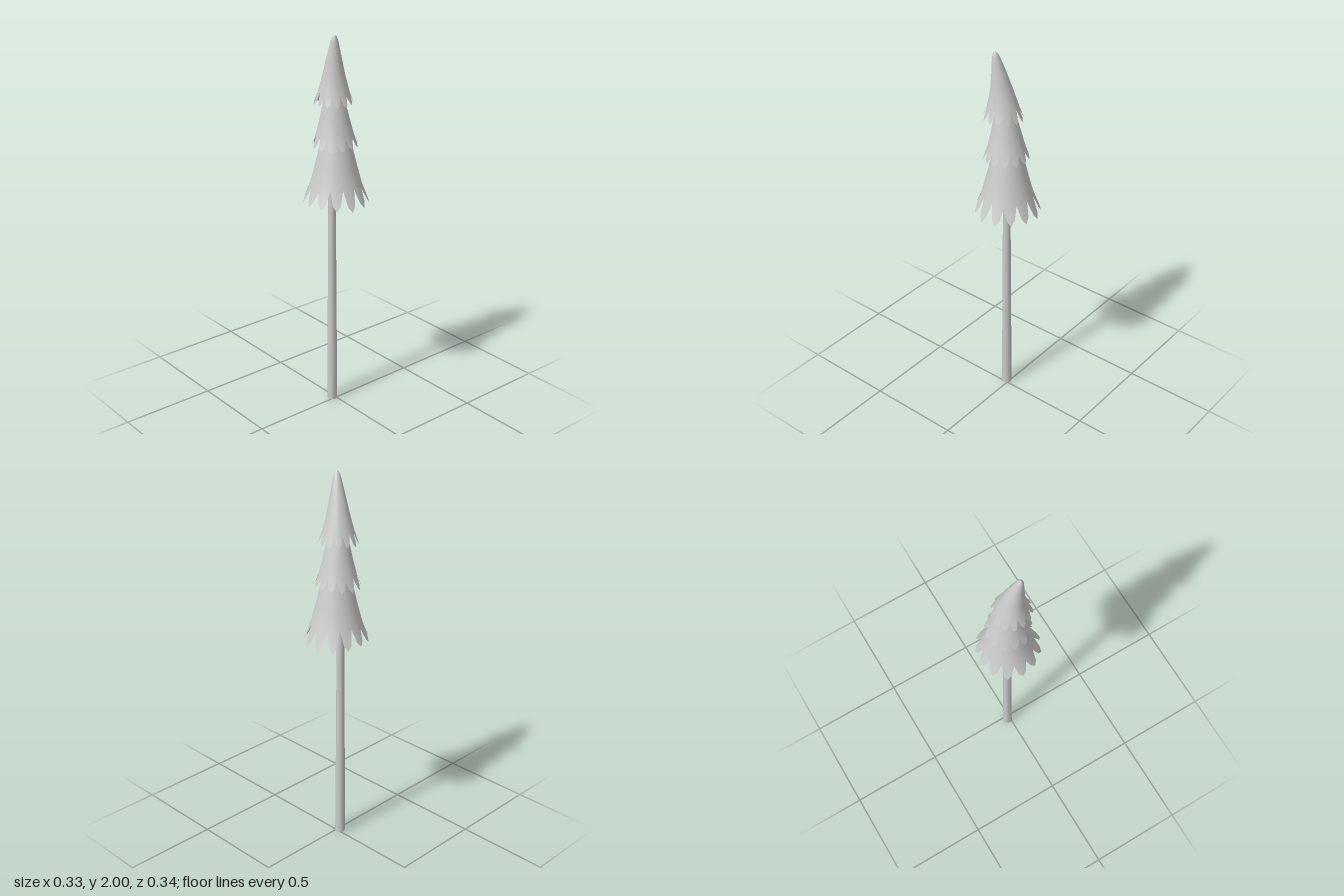
import * as THREE from 'three';

const TEETH = 13;
// columns of one tooth: notch, shoulder, tip, shoulder [angle fraction, drop]
const TOOTH = [[-0.5, 0], [-0.26, 0.72], [0, 1], [0.26, 0.72]];

// small repeatable variation in -1..1
const vary = (n) => Math.sin(n * 12.9898 + 4.1) * Math.cos(n * 7.233);

// A drooping skirt of foliage: rows are [y, radius, centre x, centre z] from the
// apex to the notches; the teeth hang below the last row.
function makeTier(name, rows, tipDrop, tipFlare, phase, material) {
  const positions = [];
  const index = [];
  const cols = TEETH * TOOTH.length;
  const [ny, nr, nx, nz] = rows[rows.length - 1];
  const angleAt = (c) =>
    phase + ((Math.floor(c / 4) + TOOTH[c % 4][0]) * Math.PI * 2) / TEETH;

  for (const [i, [y, r, cx, cz]] of rows.entries()) {
    const end = i / (rows.length - 1);
    for (let c = 0; c < cols; c++) {
      const lift = c % 4 === 0 ? vary(c + phase) * 0.012 * end ** 3 : 0;
      const a = angleAt(c);
      const rr = r * (1 - lift * 2);
      positions.push(cx + rr * Math.cos(a), y + lift, cz + rr * Math.sin(a));
    }
  }
  // outer ends of the teeth
  for (let c = 0; c < cols; c++) {
    const a = angleAt(c);
    const t = Math.floor(c / 4);
    const d = TOOTH[c % 4][1] * (1 + 0.12 * vary(t + phase * 3));
    const lift = c % 4 === 0 ? vary(c + phase) * 0.012 : 0;
    const r = (nr + tipFlare * d) * (1 - lift * 2);
    positions.push(nx + r * Math.cos(a), ny + lift - tipDrop * d, nz + r * Math.sin(a));
  }
  for (let i = 0; i < rows.length; i++) {
    for (let c = 0; c < cols; c++) {
      const n = (c + 1) % cols;
      const a = i * cols + c, b = i * cols + n;
      const d = a + cols, e = b + cols;
      const last = i === rows.length - 1;
      // the notch column has no height in the tooth row
      if (last && c % 4 === 0) index.push(a, b, e);
      else if (last && n % 4 === 0) index.push(a, b, d);
      else index.push(a, b, d, b, e, d);
    }
  }
  const geometry = new THREE.BufferGeometry();
  geometry.setAttribute('position', new THREE.Float32BufferAttribute(positions, 3));
  geometry.setIndex(index);
  geometry.computeVertexNormals();
  const mesh = new THREE.Mesh(geometry, material);
  mesh.name = name;
  return mesh;
}

export function createModel() {
  const group = new THREE.Group();
  group.name = 'pineTree';
  const bark = new THREE.MeshStandardMaterial({ color: 0xcccccc });
  const foliage = new THREE.MeshStandardMaterial({ color: 0xcccccc, side: THREE.DoubleSide });

  // slim tapered trunk
  const trunk = new THREE.Mesh(new THREE.CylinderGeometry(0.019, 0.027, 1.21, 8), bark);
  trunk.position.set(-0.015, 0.605, 0.015);
  trunk.name = 'trunk';
  group.add(trunk);

  // three foliage skirts, the top one leaning towards its tip
  group.add(makeTier('lowerFoliage', [
    [1.7, 0.005, 0, 0],
    [1.58, 0.045, 0, 0],
    [1.43, 0.082, -0.002, 0],
    [1.33, 0.106, -0.002, 0],
    [1.235, 0.131, -0.002, 0],
  ], 0.095, 0.037, 0.18, foliage));

  group.add(makeTier('middleFoliage', [
    [1.85, 0.005, 0.005, 0.015],
    [1.76, 0.03, 0.003, 0.014],
    [1.66, 0.054, 0, 0.012],
    [1.57, 0.075, -0.002, 0.008],
    [1.49, 0.095, -0.003, 0.006],
  ], 0.058, 0.022, 0.35, foliage));

  group.add(makeTier('upperFoliage', [
    [2.0, 0.001, 0.038, 0.042],
    [1.992, 0.01, 0.037, 0.041],
    [1.97, 0.019, 0.034, 0.039],
    [1.9, 0.034, 0.023, 0.032],
    [1.8, 0.055, 0.011, 0.024],
    [1.71, 0.078, 0.006, 0.02],
  ], 0.06, 0.022, 0.05, foliage));

  return group;
}
